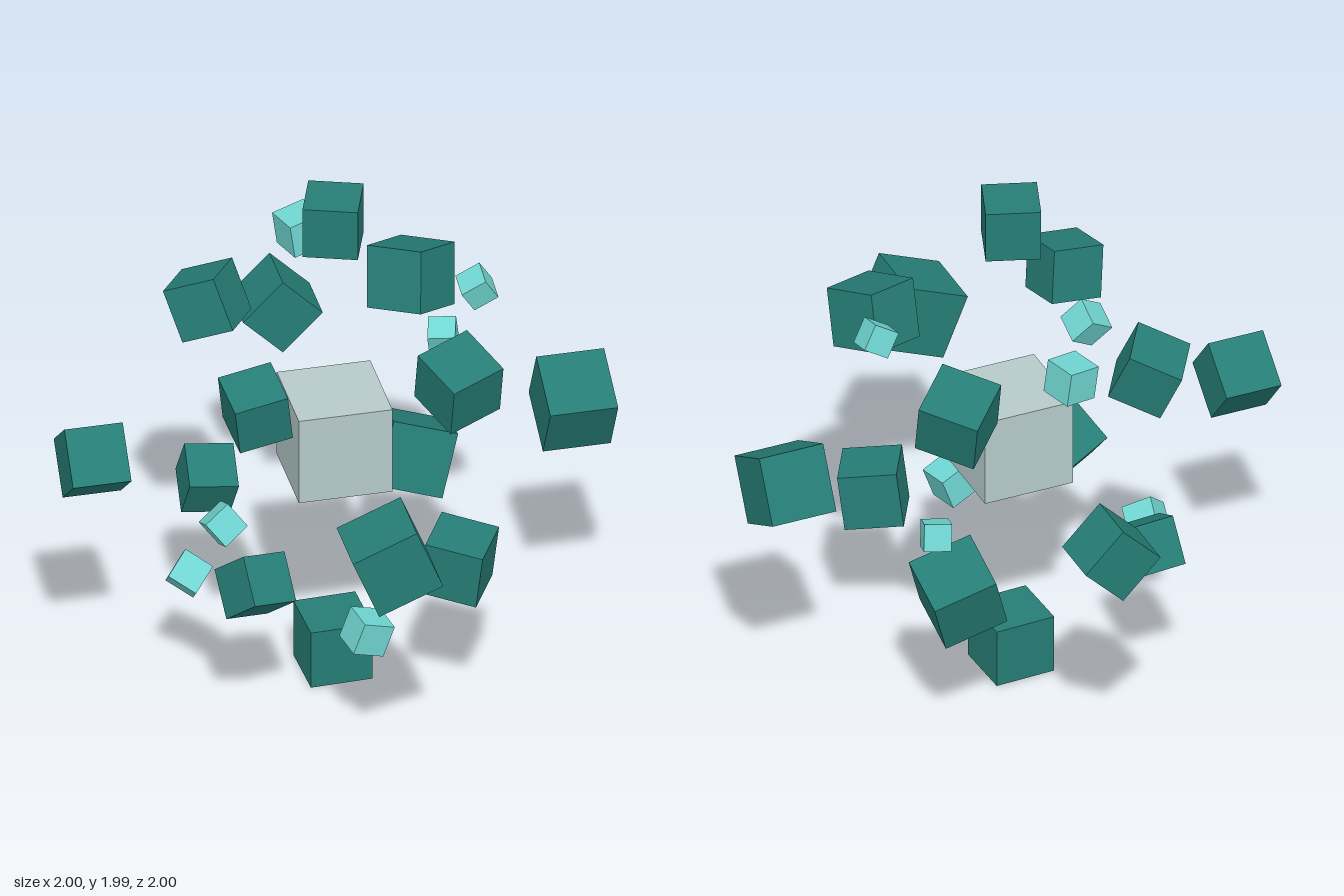
import * as THREE from 'three';

export function createModel() {
  const model = new THREE.Group();
  const paint = (name, color) => {
    const m = new THREE.MeshStandardMaterial({ color });
    m.name = name;
    return m;
  };
  const grey = paint('pale grey', 0xb6caca);
  const teal = paint('dark teal', 0x267d76);
  const aqua = paint('light aqua', 0x70d6d2);

  // everything floats around a common centre
  const cluster = new THREE.Group();
  cluster.name = 'cubeCluster';
  cluster.position.set(-0.007, 1.007, -0.01);
  model.add(cluster);

  const cube = (name, material, size, position) => {
    const mesh = new THREE.Mesh(new THREE.BoxGeometry(size, size, size), material);
    mesh.name = name;
    mesh.position.set(...position);
    cluster.add(mesh);
    return mesh;
  };

  // turns a cube so that its own x and y axes follow two directions
  const orient = (mesh, right, up) => {
    const x = new THREE.Vector3(...right).normalize();
    const z = x.clone().cross(new THREE.Vector3(...up)).normalize();
    const y = z.clone().cross(x);
    mesh.quaternion.setFromRotationMatrix(new THREE.Matrix4().makeBasis(x, y, z));
  };

  // core
  cube('coreCube', grey, 0.345, [0.004, -0.004, 0.007]);

  // cubes on the six axes, each spun about its own axis: name, direction, size, degrees
  const R = 0.886;
  [
    ['topCube', [0, 1, 0], 0.2, -19.4],
    ['bottomCube', [0, -1, 0], 0.23, 2.5],
    ['leftCube', [1, 0, 0], 0.25, 28],
    ['rightCube', [-1, 0, 0], 0.215, 50],
    ['frontCube', [0, 0, 1], 0.255, 22.3],
    ['backCube', [0, 0, -1], 0.208, 45],
  ].forEach(([name, dir, size, deg]) => {
    const mesh = cube(name, teal, size, dir.map((d) => d * R));
    const axis = new THREE.Vector3(...dir.map(Math.abs));
    mesh.quaternion.setFromAxisAngle(axis, THREE.MathUtils.degToRad(deg));
  });

  // tumbled cubes at the eight corners: name, signs, size, x direction, y direction
  const C = 0.375;
  [
    ['upperLeftFrontCube', [1, 1, 1], 0.22, [0.91, 0.13, -0.38], [-0.01, 0.96, 0.3]],
    ['upperRightFrontCube', [-1, 1, 1], 0.2, [0.98, 0.15, -0.06], [-0.13, 0.97, 0.2]],
    ['upperRightBackCube', [-1, 1, -1], 0.205, [0.8, 0.4, 0.45], [-0.28, 0.91, -0.32]],
    ['upperLeftBackCube', [1, 1, -1], 0.228, [0.7, -0.3, -0.65], [0.1, 0.92, -0.35]],
    ['lowerRightFrontCube', [-1, -1, 1], 0.185, [0.9, -0.22, -0.36], [-0.08, 0.74, -0.65]],
    ['lowerLeftFrontCube', [1, -1, 1], 0.215, [0.87, -0.13, 0.48], [0.1, 0.98, 0.11]],
    ['lowerLeftBackCube', [1, -1, -1], 0.243, [0.91, -0.28, 0.09], [0.3, 0.88, -0.28]],
    ['lowerRightBackCube', [-1, -1, -1], 0.18, [0.99, -0.1, 0.05], [0.07, 0.86, 0.48]],
  ].forEach(([name, signs, size, right, up]) => {
    orient(cube(name, teal, size, signs.map((s) => s * C)), right, up);
  });

  // small cubes in a tilted ring: name, signs, size, x direction, y direction
  const S = 0.53;
  [
    ['smallUpperLeftCube', [1, 1, 0], 0.1, [0.85, 0.5, 0.11], [-0.51, 0.82, 0.19]],
    ['smallUpperBackCube', [0, 1, -1], 0.13, [0.94, 0.13, -0.29], [-0.12, 0.99, 0]],
    ['smallLeftBackCube', [1, 0, -1], 0.1, [0.95, 0.07, 0.29], [-0.17, 0.93, 0.32]],
    ['smallLowerFrontCube', [0, -1, 1], 0.125, [0.92, -0.33, -0.2], [0.33, 0.94, 0]],
    ['smallLowerRightCube', [-1, -1, 0], 0.117, [0.75, -0.45, 0.45], [-0.09, 0.62, 0.77]],
    ['smallRightFrontCube', [-1, 0, 1], 0.11, [0.8, 0.53, -0.27], [-0.55, 0.76, -0.34]],
  ].forEach(([name, signs, size, right, up]) => {
    orient(cube(name, aqua, size, signs.map((s) => s * S)), right, up);
  });

  return model;
}
